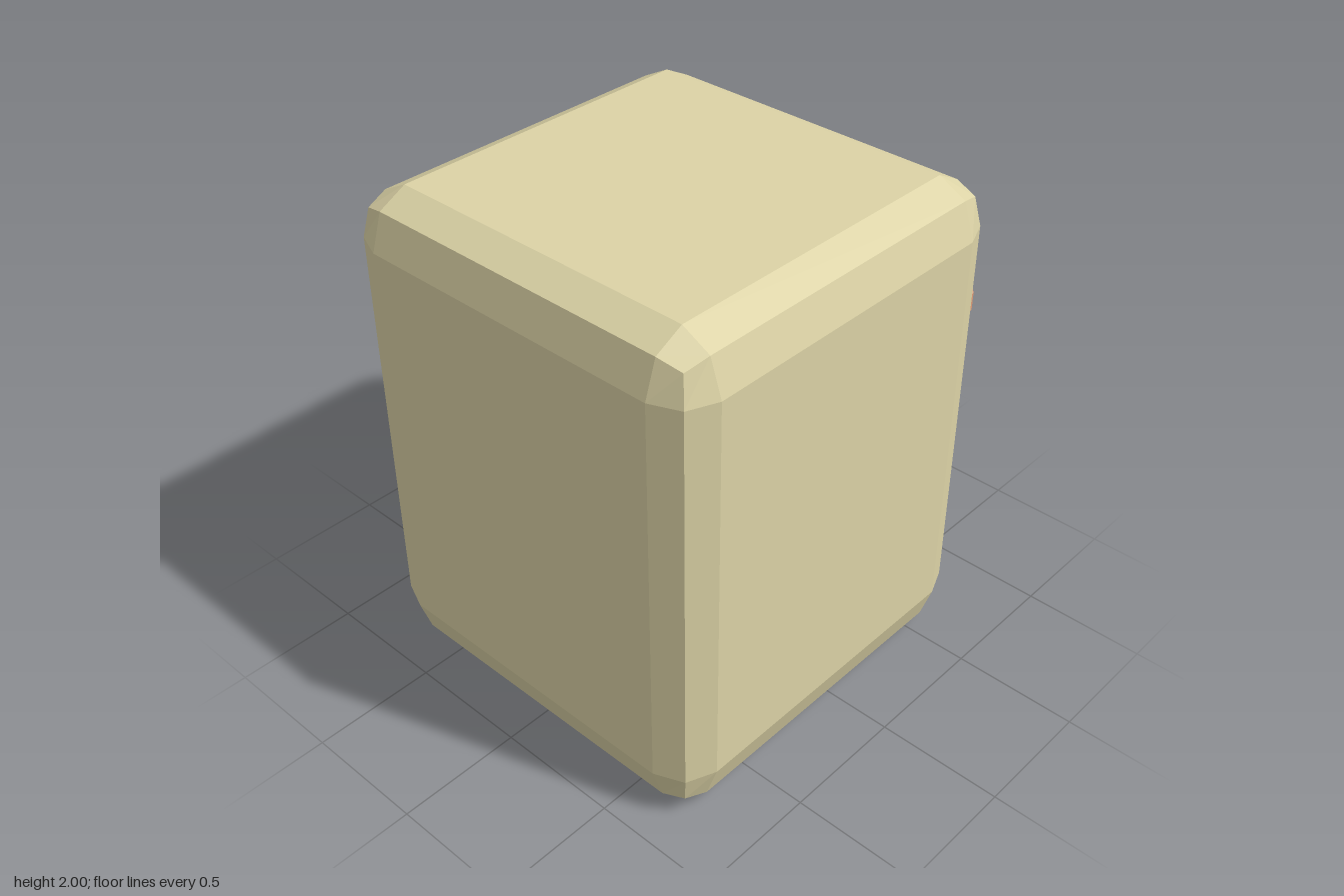
import * as THREE from 'three';
import { RoundedBoxGeometry } from 'three/addons/geometries/RoundedBoxGeometry.js';

const material = (color) => new THREE.MeshStandardMaterial({ color, flatShading: true });

// Faceted rounded block spanning min..max, with its own bevel size on each axis
function block(name, min, max, bevel, mat) {
  const geometry = new RoundedBoxGeometry(1, 1, 1, 1, 0.1);
  const position = geometry.attributes.position;
  for (let i = 0; i < position.count; i++) {
    for (let axis = 0; axis < 3; axis++) {
      const c = position.getComponent(i, axis);
      const half = (max[axis] - min[axis]) / 2;
      const offset = half - bevel[axis] + ((Math.abs(c) - 0.4) / 0.1) * bevel[axis];
      position.setComponent(i, axis, (min[axis] + max[axis]) / 2 + Math.sign(c) * offset);
    }
  }
  geometry.computeVertexNormals();
  const mesh = new THREE.Mesh(geometry, mat);
  mesh.name = name;
  return mesh;
}

export function createModel() {
  const model = new THREE.Group();
  model.name = 'blockHead';
  const stone = material(0xdcd3a6);
  const clay = material(0xe09c78);
  const grey = material(0xcccccc);
  const red = material(0xc8282a);
  const green = material(0x33cc11);

  // Main body
  model.add(block('body', [-0.8, 0, -0.71], [0.8, 2, 0.89], [0.16, 0.2, 0.16], stone));

  // Eyes on the back face: brow, two lids, eyeball and iris
  for (const [side, x] of [['left', 0.365], ['right', -0.375]]) {
    const eye = new THREE.Group();
    eye.name = side + 'Eye';
    const part = (name, halfWidth, y0, y1, z, bevel, mat) =>
      eye.add(block(name, [x - halfWidth, y0, z], [x + halfWidth, y1, -0.58], bevel, mat));
    part('brow', 0.265, 1.47, 1.79, -0.838, [0.11, 0.09, 0.07], clay);
    part('upperLid', 0.29, 1.285, 1.46, -0.893, [0.12, 0.05, 0.06], clay);
    part('eyeball', 0.265, 0.95, 1.36, -0.835, [0.11, 0.05, 0.06], grey);
    part('iris', 0.12, 1.02, 1.285, -0.847, [0.03, 0.035, 0.03], red);
    part('lowerLid', 0.29, 0.865, 1.015, -0.88, [0.12, 0.04, 0.06], clay);
    model.add(eye);
  }

  // Mouth bars
  for (const [name, y0] of [['upperLip', 0.515], ['lowerLip', 0.3]]) {
    model.add(block(name, [-0.49, y0, -0.747], [0.475, y0 + 0.195, -0.62], [0.06, 0.03, 0.03], green));
  }
  return model;
}
